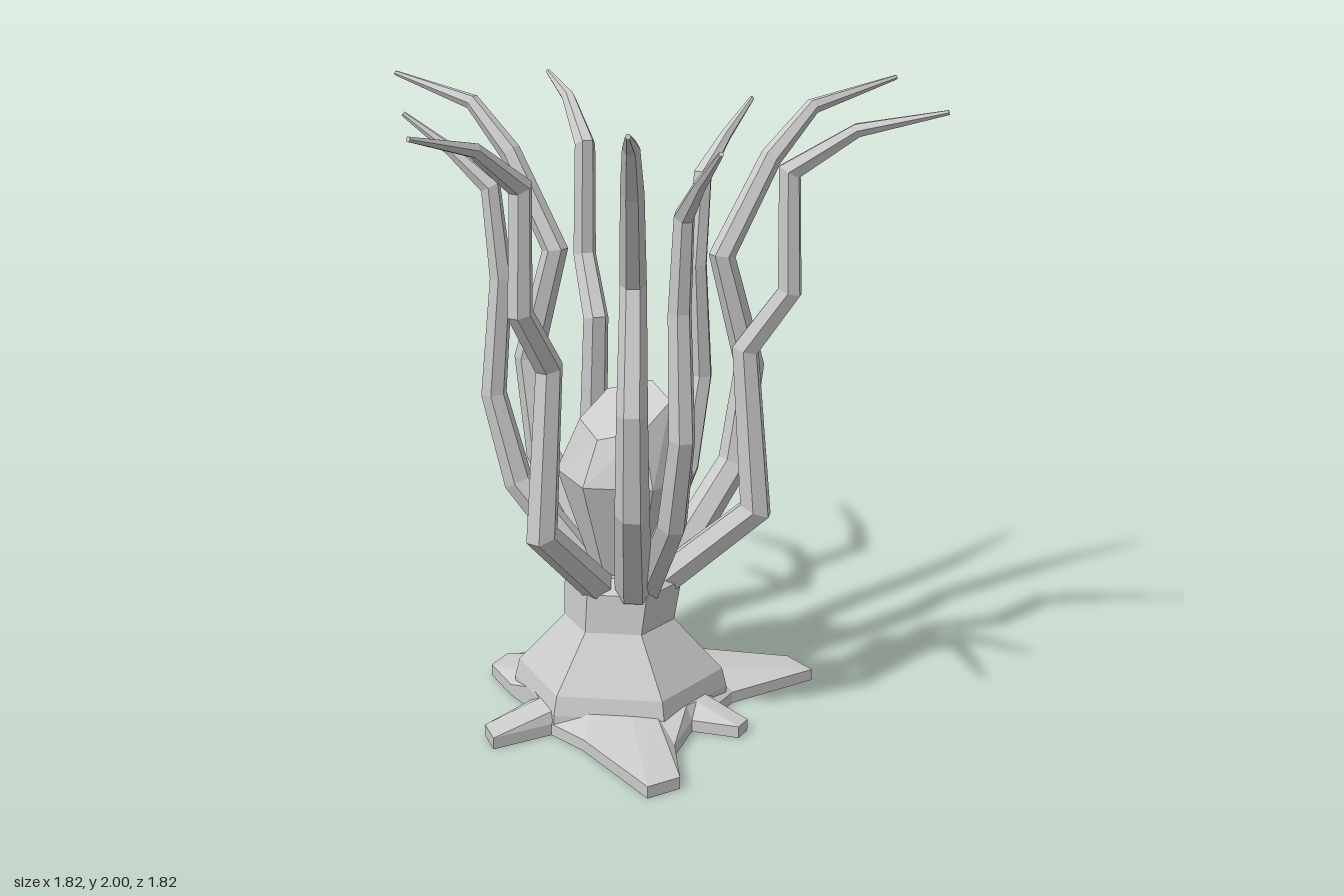
import * as THREE from 'three';

const material = new THREE.MeshStandardMaterial({ color: 0xcccccc, flatShading: true });

// Skins a stack of closed loops (bottom to top, turning from +x to +z) and caps both ends.
function loft(name, loops) {
  const n = loops[0].length;
  const points = loops.flat();
  const index = [];
  for (let i = 0; i < loops.length - 1; i++) {
    for (let j = 0; j < n; j++) {
      const k = (j + 1) % n;
      const a = i * n + j, b = i * n + k, c = a + n, d = b + n;
      index.push(a, c, b, b, c, d);
    }
  }
  const middle = loop => loop.reduce((m, p) => m.add(p), new THREE.Vector3()).divideScalar(n);
  const last = (loops.length - 1) * n;
  const bottom = points.push(middle(loops[0])) - 1;
  const top = points.push(middle(loops[loops.length - 1])) - 1;
  for (let j = 0; j < n; j++) {
    const k = (j + 1) % n;
    index.push(bottom, j, k, top, last + k, last + j);
  }
  const geometry = new THREE.BufferGeometry().setFromPoints(points);
  geometry.setIndex(index);
  geometry.computeVertexNormals();
  const mesh = new THREE.Mesh(geometry, material);
  mesh.name = name;
  return mesh;
}

// Six-sided horizontal ring with corners on the x axis; tilt raises it towards +x.
function ring(cx, cz, y, r, tilt = 0) {
  return Array.from({ length: 6 }, (_, k) => {
    const a = k * Math.PI / 3;
    const x = r * Math.cos(a);
    return new THREE.Vector3(cx + x, y + tilt * x, cz + r * Math.sin(a));
  });
}

// Side profiles of the arms: [fraction of the way from root to tip, height, radius].
const kinked = [[0, 0.44, 0.055], [0.34, 0.69, 0.05], [0.29, 1.21, 0.043], [0.45, 1.4, 0.039],
  [0.44, 1.77, 0.035], [0.68, 1.9, 0.023], [1, 1.96, 0.008]];
const waved = [[0, 0.44, 0.06], [0.3, 0.78, 0.053], [0.36, 1.1, 0.047], [0.23, 1.47, 0.04],
  [0.44, 1.77, 0.035], [0.62, 1.92, 0.025], [1, 1.995, 0.008]];
const upright = [[0, 0.44, 0.055], [0.4, 0.73, 0.048], [0.53, 1.02, 0.042], [0.48, 1.4, 0.037],
  [0.53, 1.69, 0.032], [0.74, 1.8, 0.02], [1, 1.91, 0.008]];

// Arm in a vertical plane from root to tip, with mitred six-sided sections.
function arm(name, profile, root, tip) {
  const start = new THREE.Vector2(...root);
  const out = new THREE.Vector2(...tip).sub(start);
  const reach = out.length();
  out.normalize();
  const path = profile.map(([t, y]) => new THREE.Vector2(t * reach, y));
  const direction = i => path[i + 1].clone().sub(path[i]).normalize();
  const loops = path.map((p, i) => {
    const before = direction(Math.max(i - 1, 0));
    const after = direction(Math.min(i, path.length - 2));
    const tangent = before.clone().add(after).normalize();
    const stretch = 1 / Math.max(tangent.dot(after), 0.7);
    const r = profile[i][2];
    return Array.from({ length: 6 }, (_, k) => {
      const a = (k + 0.5) * Math.PI / 3;
      const n = r * Math.cos(a) * stretch, s = r * Math.sin(a);
      const d = p.x + tangent.y * n;
      return new THREE.Vector3(start.x + out.x * d - out.y * s, p.y - tangent.x * n,
        start.y + out.y * d + out.x * s);
    });
  });
  return loft(name, loops);
}

export function createModel() {
  const model = new THREE.Group();

  // Star-shaped foot: outline of uneven lobes, sloping up to the body
  const outline = [[-0.5, -0.08], [-0.44, -0.165], [-0.2, -0.17], [-0.15, -0.3], [-0.06, -0.46],
    [0.05, -0.48], [0.15, -0.36], [0.25, -0.24], [0.37, -0.05], [0.61, 0.3], [0.56, 0.43],
    [0.24, 0.32], [0.1, 0.34], [0.095, 0.475], [0.03, 0.485], [-0.02, 0.34], [-0.2, 0.4],
    [-0.37, 0.54], [-0.48, 0.5], [-0.34, 0.15], [-0.31, 0]];
  const cx = 0.04, cz = 0.01;
  const footLoop = (y, limit) => outline.map(([x, z]) => {
    const f = Math.min(1, limit / Math.hypot(x - cx, z - cz));
    return new THREE.Vector3(cx + (x - cx) * f, y, cz + (z - cz) * f);
  });
  model.add(loft('foot', [footLoop(0, 9), footLoop(0.038, 9), footLoop(0.08, 0.31)]));

  // Flared body and neck
  model.add(loft('body', [ring(cx, cz, 0.01, 0.35), ring(cx, cz, 0.07, 0.35),
    ring(cx, cz, 0.13, 0.335), ring(0.02, 0.02, 0.305, 0.18), ring(0.04, 0.02, 0.43, 0.19),
    ring(0.04, 0.02, 0.47, 0.13)]));

  // Central bulb with a slanted top
  model.add(loft('bulb', [ring(0.05, 0.02, 0.44, 0.1), ring(0.05, 0.02, 0.79, 0.22),
    ring(0.05, 0.02, 0.995, 0.145, 0.46)]));

  // Ring of arms: profile, root and tip as [x, z]
  const arms = new THREE.Group();
  arms.name = 'arms';
  [
    [kinked, [-0.09, 0.02], [-0.91, 0.01]],
    [kinked, [0.12, 0.14], [0.46, 0.9]],
    [kinked, [0.14, -0.08], [0.62, -0.74]],
    [waved, [0.1, -0.1], [0.03, -0.91]],
    [waved, [0.15, 0.115], [0.91, 0.47]],
    [waved, [-0.05, 0.13], [-0.72, 0.6]],
    [upright, [0.15, 0.02], [0.76, 0.015]],
    [upright, [0, 0.14], [-0.35, 0.64]],
    [upright, [0.02, -0.1], [-0.24, -0.63]],
  ].forEach(([profile, root, tip], i) => arms.add(arm(`arm${i + 1}`, profile, root, tip)));
  model.add(arms);

  return model;
}
